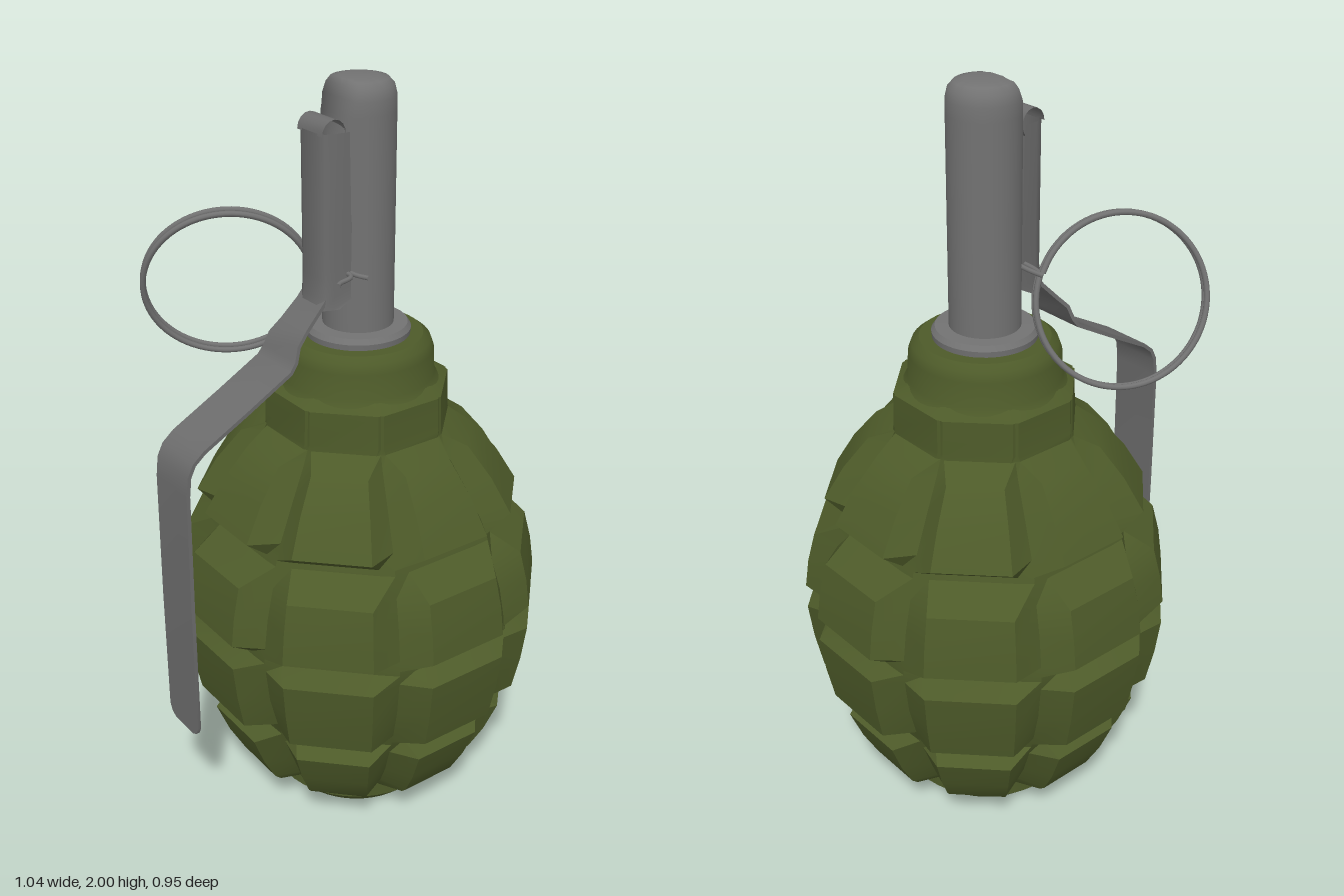
import * as THREE from 'three';
import { toCreasedNormals } from 'three/addons/utils/BufferGeometryUtils.js';

const AXIS = 0.042; // x of the body's upright axis

// Skin a grid of cross-sections; closed joins the last point of a section to its first.
function loft(rows, closed, crease) {
  const n = rows[0].length, index = [];
  for (let i = 0; i < rows.length - 1; i++) {
    for (let j = 0; j < (closed ? n : n - 1); j++) {
      const a = i * n + j, b = i * n + (j + 1) % n;
      index.push(a, b, b + n, a, b + n, a + n);
    }
  }
  const g = new THREE.BufferGeometry();
  g.setAttribute('position', new THREE.Float32BufferAttribute(rows.flat(2), 3));
  g.setIndex(index);
  g.computeVertexNormals();
  return toCreasedNormals(g, crease);
}

function lathe(points, crease = 0.6) {
  const g = new THREE.LatheGeometry(points.map(p => new THREE.Vector2(...p)), 48);
  return toCreasedNormals(g, crease);
}

export function createModel() {
  const group = new THREE.Group();
  const green = new THREE.MeshStandardMaterial({ color: 0x4d5a29 });
  const steel = new THREE.MeshStandardMaterial({ color: 0x727272 });
  const sheet = new THREE.MeshStandardMaterial({ color: 0x6c6c6c, side: THREE.DoubleSide });
  green.name = 'olive green';
  steel.name = 'steel grey';
  sheet.name = 'sheet steel grey';

  const add = (name, geometry, material, x = 0, y = 0, z = 0) => {
    const m = new THREE.Mesh(geometry, material);
    m.name = name;
    m.position.set(x, y, z);
    group.add(m);
    return m;
  };

  // Segmented shell: [height, block face distance, groove floor distance, face half-width ratio]
  const shell = [
    [0.085, 0.22, 0.22, 0.28], [0.115, 0.315, 0.245, 0.24], [0.135, 0.335, 0.26, 0.235],
    [0.21, 0.375, 0.303, 0.235], [0.30, 0.41, 0.34, 0.235],
    [0.335, 0.356, 0.354, 0.30], [0.348, 0.36, 0.358, 0.30],
    [0.38, 0.445, 0.37, 0.24], [0.48, 0.465, 0.40, 0.24], [0.58, 0.477, 0.414, 0.24],
    [0.608, 0.421, 0.418, 0.30], [0.622, 0.421, 0.418, 0.30],
    [0.65, 0.477, 0.414, 0.24], [0.73, 0.466, 0.40, 0.24], [0.81, 0.446, 0.375, 0.24],
    [0.865, 0.364, 0.361, 0.30], [0.88, 0.36, 0.357, 0.30],
    [0.92, 0.413, 0.34, 0.24], [1.01, 0.36, 0.287, 0.24], [1.09, 0.295, 0.238, 0.24],
    [1.125, 0.228, 0.222, 0.36], [1.14, 0.226, 0.221, 0.38],
    [1.23, 0.223, 0.218, 0.38], [1.25, 0.185, 0.182, 0.38],
  ];
  const rings = shell.map(([y, face, floor, ratio]) => {
    const ring = [];
    for (let k = 0; k < 8; k++) {
      const a = k * Math.PI / 4, s = Math.sin(a), c = Math.cos(a);
      const corner = [-Math.tan(Math.PI / 8) * floor, floor];
      for (const [u, d] of [corner, [-ratio * face, face], [ratio * face, face]]) {
        ring.push([u * c + d * s, y, d * c - u * s]);
      }
    }
    return ring;
  });
  add('segmentedBody', loft(rings, true, 0.6), green, AXIS);

  // Round foot and neck
  add('foot', lathe([[0, 0], [0.2, 0], [0.243, 0.045], [0.245, 0.095], [0.225, 0.115], [0.15, 0.12]]), green, AXIS);
  add('neck', lathe([[0.15, 1.22], [0.21, 1.235], [0.196, 1.255], [0.193, 1.32], [0.184, 1.345],
    [0.165, 1.36], [0.08, 1.36]]), green, AXIS);

  // Collar ring and the fuse tube, its top sloped on the lever side
  add('collar', lathe([[0.08, 1.35], [0.132, 1.355], [0.134, 1.375], [0.125, 1.388], [0.08, 1.39]]), steel, AXIS);
  const tube = lathe([[0.09, 1.37], [0.09, 1.65], [0.09, 1.88], [0.09, 1.92], [0.09, 1.955],
    [0.084, 1.98], [0.07, 1.995], [0.045, 2], [0, 2]], 0.8);
  const p = tube.attributes.position;
  for (let i = 0; i < p.count; i++) {
    if (p.getY(i) > 1.9) p.setX(i, Math.max(p.getX(i), -0.08 + (p.getY(i) - 1.9) * 0.4));
  }
  add('fuseTube', tube, steel, AXIS);

  // Safety lever: thin strip, [x, y, half-width] from the free end upwards
  const strip = [
    [-0.518, 0.37, 0.045], [-0.518, 0.38, 0.062], [-0.518, 0.40, 0.071], [-0.516, 0.75, 0.072],
    [-0.511, 1.09, 0.072], [-0.505, 1.14, 0.072], [-0.49, 1.17, 0.072], [-0.46, 1.195, 0.072],
    [-0.33, 1.265, 0.072], [-0.21, 1.332, 0.072], [-0.193, 1.355, 0.07], [-0.18, 1.39, 0.063],
    [-0.15, 1.42, 0.055], [-0.105, 1.465, 0.05], [-0.075, 1.5, 0.05],
  ];
  const half = 0.005;
  const stripRows = strip.map(([x, y, w], i) => {
    const a = strip[Math.max(i - 1, 0)], b = strip[Math.min(i + 1, strip.length - 1)];
    const dx = b[0] - a[0], dy = b[1] - a[1], l = Math.hypot(dx, dy);
    const nx = -dy / l * half, ny = dx / l * half;
    return [[x + nx, y + ny, -w], [x + nx, y + ny, w], [x - nx, y - ny, w], [x - nx, y - ny, -w]];
  });
  add('safetyLever', loft(stripRows, true, 0.6), sheet);

  // Folded lever guard hugging the tube: [y, back x, side edge x]
  const guard = [[1.46, -0.108, -0.06], [1.49, -0.102, -0.005], [1.54, -0.1, 0.005], [1.6, -0.1, -0.008],
    [1.68, -0.1, -0.025], [1.89, -0.1, -0.03]];
  const guardRows = guard.map(([y, back, edge]) => [
    [edge, y, -0.062], [back + 0.03, y, -0.058], [back + 0.009, y, -0.049], [back, y, -0.03],
    [back, y, 0.03], [back + 0.009, y, 0.049], [back + 0.03, y, 0.058], [edge, y, 0.062],
  ]);
  add('leverGuard', loft(guardRows, false, 1), sheet);

  // Curl at the top of the guard that hooks onto the tube
  const curl = [];
  for (let i = 0; i <= 10; i++) {
    const a = Math.PI * (1 - i * 0.13);
    const x = -0.066 + Math.cos(a) * 0.034, y = 1.885 + Math.sin(a) * 0.036;
    curl.push([[x, y, -0.05], [x, y, 0.05]]);
  }
  add('leverHook', loft(curl, false, 1), sheet);

  // Split pin through the guard with its ends bent over
  const wire = (points, r) => new THREE.TubeGeometry(
    new THREE.CatmullRomCurve3(points.map(q => new THREE.Vector3(...q))), 24, r, 8);
  for (const s of [-1, 1]) {
    add('splitPin', wire([[-0.02, 1.545, -0.145], [-0.025 + s * 0.008, 1.545, -0.09], [-0.03 + s * 0.006, 1.545, 0],
      [-0.03 + s * 0.008, 1.545, 0.08], [-0.05 + s * 0.035, 1.545, 0.1], [-0.055 + s * 0.045, 1.545, 0.112]], 0.006), steel);
  }

  // Pull ring: two turns of wire, tilted behind the lever
  const u = new THREE.Vector3(0.87, 0, 0.49).normalize();
  const n = u.clone().cross(new THREE.Vector3(-0.13, 0.955, 0.27)).normalize();
  const v = n.clone().cross(u);
  const coil = [];
  for (let i = 0; i <= 80; i++) {
    const t = i / 80, a = 0.4 + t * Math.PI * 4;
    coil.push(new THREE.Vector3(-0.19, 1.465, -0.24)
      .addScaledVector(u, Math.cos(a) * 0.213).addScaledVector(v, Math.sin(a) * 0.213)
      .addScaledVector(n, (t - 0.5) * 0.036));
  }
  add('pullRing', new THREE.TubeGeometry(new THREE.CatmullRomCurve3(coil), 160, 0.0075, 8), steel);

  return group;
}
